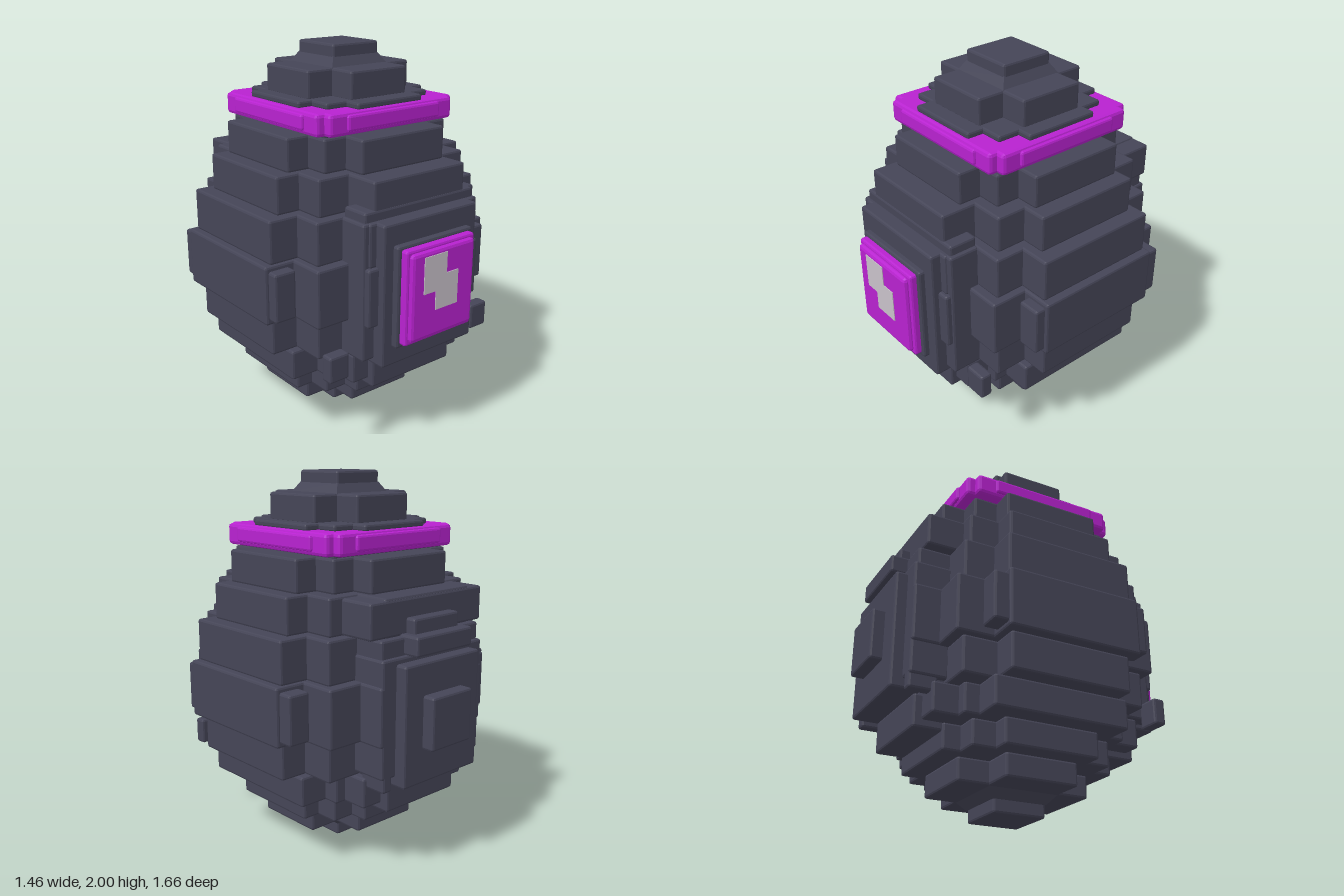
import * as THREE from 'three';
import { RoundedBoxGeometry } from 'three/addons/geometries/RoundedBoxGeometry.js';

export function createModel() {
  const model = new THREE.Group();
  model.name = 'blockEgg';
  const material = (name, color) => {
    const m = new THREE.MeshStandardMaterial({ color, flatShading: true });
    m.name = name;
    return m;
  };
  const shell = material('dark slate', 0x454557);
  const magenta = material('magenta', 0xb822d0);
  const pale = material('pale grey', 0xc8c1ca);

  // Chamfered block given by its limits on each axis
  function block(name, x0, x1, y0, y1, z0, z1, mat = shell, bevel = 0.012) {
    const s = [x1 - x0, y1 - y0, z1 - z0];
    const r = Math.min(bevel, Math.min(...s) * 0.3);
    const mesh = new THREE.Mesh(new RoundedBoxGeometry(...s, 1, r), mat);
    mesh.position.set((x0 + x1) / 2, (y0 + y1) / 2, (z0 + z1) / 2);
    mesh.name = name;
    model.add(mesh);
    return mesh;
  }
  const centred = (name, hx, y0, y1, hz, mat, bevel) =>
    block(name, -hx, hx, y0, y1, -hz, hz, mat, bevel);

  // Mirrored pair of blocks on +x and -x
  function pair(name, x0, x1, y0, y1, z0, z1) {
    block(name + 'Left', x0, x1, y0, y1, z0, z1);
    block(name + 'Right', -x1, -x0, y0, y1, z0, z1);
  }

  // Stepped layers: y0, y1, then the half sizes of the overlapping blocks
  const layers = [
    [0.12, 0.24, [[0.375, 0.2], [0.2, 0.37]]],
    [0.24, 0.375, [[0.48, 0.26], [0.385, 0.385], [0.26, 0.48]]],
    [0.375, 0.53, [[0.585, 0.37], [0.43, 0.45], [0.37, 0.585]]],
    [0.53, 0.72, [[0.675, 0.33], [0.53, 0.51], [0.33, 0.64]]],
    [0.72, 1.02, [[0.73, 0.365], [0.565, 0.56], [0.37, 0.7]]],
    [1.02, 1.24, [[0.69, 0.35], [0.53, 0.51], [0.35, 0.68]]],
    [1.24, 1.43, [[0.61, 0.3], [0.48, 0.46], [0.3, 0.65]]],
    [1.43, 1.6, [[0.525, 0.27], [0.4, 0.4], [0.27, 0.525]]],
    [1.72, 1.752, [[0.41, 0.21], [0.33, 0.33], [0.21, 0.42]]],
    [1.745, 1.89, [[0.33, 0.18], [0.18, 0.33]]],
  ];
  layers.forEach(([y0, y1, sizes], i) => sizes.forEach(([hx, hz], k) =>
    centred(`shellLayer${i + 1}Block${k + 1}`, hx, y0 - 0.004, y1, hz)));

  // Magenta band near the top
  centred('bandSides', 0.46, 1.63, 1.71, 0.3, magenta);
  centred('bandEnds', 0.3, 1.63, 1.71, 0.46, magenta);
  centred('bandWide', 0.445, 1.61, 1.722, 0.4, magenta, 0.018);
  centred('bandDeep', 0.4, 1.61, 1.722, 0.445, magenta, 0.018);
  centred('bandCore', 0.38, 1.59, 1.63, 0.38);

  // Caps with sloped collars
  function collar(name, top, bottom, y0, y1) {
    const geo = new THREE.CylinderGeometry(top * Math.SQRT2, bottom * Math.SQRT2, y1 - y0, 4);
    geo.rotateY(Math.PI / 4);
    const mesh = new THREE.Mesh(geo, shell);
    mesh.position.y = (y0 + y1) / 2;
    mesh.name = name;
    model.add(mesh);
  }
  centred('topCap', 0.147, 1.87, 2, 0.147);
  collar('topCollar', 0.145, 0.18, 1.885, 1.94);
  centred('bottomCap', 0.147, 0, 0.14, 0.147);
  collar('bottomCollar', 0.2, 0.15, 0.07, 0.125);

  // Front plates and gem
  block('frontBacking', -0.38, 0.38, 0.53, 1.24, 0.5, 0.67);
  block('frontUpperBacking', -0.36, 0.36, 1.02, 1.29, 0.5, 0.655);
  block('frontPlate', -0.31, 0.31, 0.5, 1.24, 0.55, 0.735);
  block('frontFrame', -0.25, 0.25, 0.6, 1.13, 0.7, 0.768);
  block('gemBase', -0.228, 0.228, 0.62, 1.113, 0.74, 0.805, magenta);
  block('gemFace', -0.21, 0.21, 0.64, 1.095, 0.77, 0.828, magenta, 0.02);
  block('frontChin', -0.27, 0.27, 0.33, 0.49, 0.45, 0.62);

  // Stepped shine on the gem, drawn as one thin plate
  const shine = new THREE.Shape([
    [-0.135, 0.88], [-0.055, 0.88], [-0.055, 0.78], [0.095, 0.78],
    [0.095, 0.96], [0.015, 0.96], [0.015, 1.07], [-0.135, 1.07],
  ].map(([x, y]) => new THREE.Vector2(x, y)));
  const shineMesh = new THREE.Mesh(
    new THREE.ExtrudeGeometry(shine, { depth: 0.005, bevelEnabled: false }), pale);
  shineMesh.position.z = 0.827;
  shineMesh.name = 'gemShine';
  model.add(shineMesh);

  // Back plates and knob
  block('backBacking', -0.36, 0.36, 0.55, 1.15, -0.7, -0.5);
  block('backPlate', -0.27, 0.27, 0.5, 1.12, -0.762, -0.6);
  block('backKnob', -0.143, 0.143, 0.68, 0.955, -0.828, -0.72);
  block('backBrow', -0.2, 0.2, 1.15, 1.25, -0.768, -0.6);
  block('backUpperBrow', -0.16, 0.16, 1.2, 1.325, -0.71, -0.6);
  block('backUpperBacking', -0.4, 0.4, 1.24, 1.42, -0.655, -0.4);
  block('backChin', -0.25, 0.25, 0.33, 0.5, -0.63, -0.45);

  // Small blocks scattered on the corners
  pair('frontCornerBlock', 0.43, 0.55, 0.45, 0.59, 0.565, 0.632);
  pair('frontSideBlock', 0.59, 0.712, 0.74, 0.995, 0.33, 0.42);
  pair('backSideBlock', 0.59, 0.712, 0.74, 0.995, -0.44, -0.33);
  pair('backLowerBlock', 0.29, 0.35, 0.48, 0.72, -0.7, -0.55);

  return model;
}
